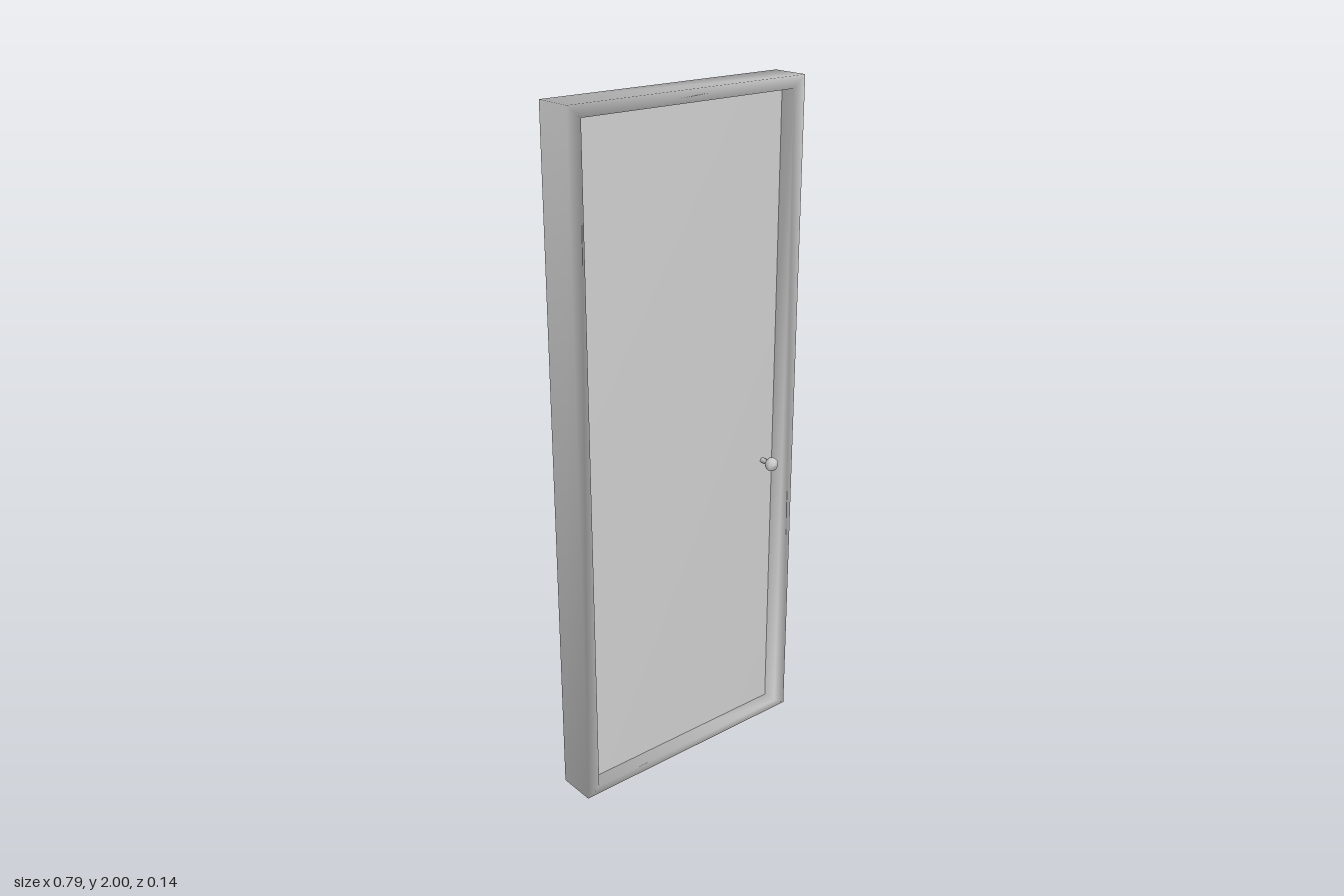
import * as THREE from 'three';
import { mergeVertices } from 'three/addons/utils/BufferGeometryUtils.js';

const material = new THREE.MeshStandardMaterial({ color: 0xcccccc });

// Share corners so the shading runs softly around every edge
function softened(geometry) {
  geometry.deleteAttribute('normal');
  geometry.deleteAttribute('uv');
  const merged = mergeVertices(geometry, 1e-4);
  merged.computeVertexNormals();
  return merged;
}

function rectangle(target, x, y0, y1) {
  target.moveTo(-x, y0);
  target.lineTo(x, y0);
  target.lineTo(x, y1);
  target.lineTo(-x, y1);
  target.closePath();
  return target;
}

export function createModel() {
  const group = new THREE.Group();
  const add = (name, geometry) => {
    const mesh = new THREE.Mesh(geometry, material);
    mesh.name = name;
    group.add(mesh);
    return mesh;
  };

  const depth = 0.115, openingX = 0.353, sillY = 0.024, headY = 1.966;
  const panelDepth = 0.024;

  // Door frame: jambs, head and sill in one piece
  const outline = rectangle(new THREE.Shape(), 0.394, 0, 2);
  outline.holes.push(rectangle(new THREE.Path(), openingX, sillY, headY));
  const frame = new THREE.ExtrudeGeometry(outline, { depth, bevelEnabled: false });
  frame.translate(0, 0, -depth / 2);
  add('doorFrame', softened(frame));

  // Recessed door leaf filling the opening
  const panel = new THREE.BoxGeometry(openingX * 2, headY - sillY, panelDepth);
  panel.translate(0, (headY + sillY) / 2, 0);
  add('doorPanel', softened(panel));

  // Turned knob on a thin stem, one on each face
  const profile = [
    [0.008, 0.01], [0.008, 0.04], [0.018, 0.043],
    [0.0215, 0.053], [0.019, 0.063], [0, 0.0685],
  ].map(([r, z]) => new THREE.Vector2(r, z));
  for (const side of [1, -1]) {
    const knob = new THREE.LatheGeometry(profile, 10);
    knob.rotateX(side * Math.PI / 2);
    add(side > 0 ? 'frontKnob' : 'backKnob', knob).position.set(0.314, 0.87, 0);
  }

  return group;
}
